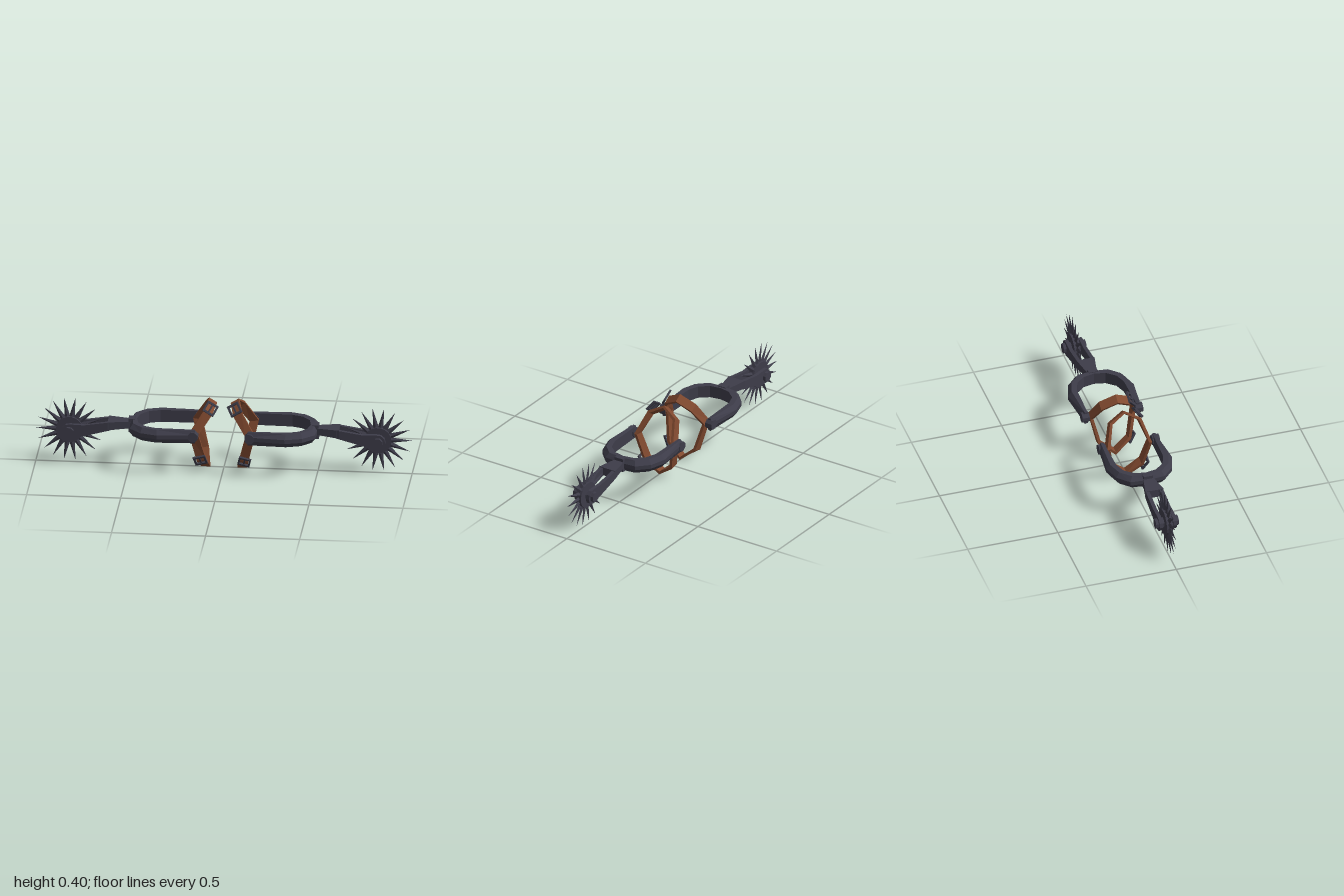
import * as THREE from 'three';

const metal = new THREE.MeshStandardMaterial({ color: 0x3d3c49, flatShading: true });
metal.name = 'darkSteel';
const leather = new THREE.MeshStandardMaterial({ color: 0x80492f, flatShading: true });
leather.name = 'brownLeather';

const V = (x, y, z) => new THREE.Vector3(x, y, z);
const ROWEL = [0.82, 0.19, 0];

// Skin a list of equal-length cross-sections; the winding is made to face outward.
function loft(rings, closed = false) {
  const n = rings[0].length, m = rings.length, idx = [];
  const pts = rings.flat();
  for (let i = 0; i < (closed ? m : m - 1); i++) {
    const a = i * n, b = ((i + 1) % m) * n;
    for (let j = 0; j < n; j++) {
      const k = (j + 1) % n;
      idx.push(a + j, b + j, b + k, a + j, b + k, a + k);
    }
  }
  if (!closed) {
    const e = (m - 1) * n;
    for (let j = 1; j < n - 1; j++) idx.push(0, j, j + 1, e, e + j + 1, e + j);
  }
  let volume = 0;
  for (let i = 0; i < idx.length; i += 3) {
    volume += pts[idx[i]].dot(V(0, 0, 0).crossVectors(pts[idx[i + 1]], pts[idx[i + 2]]));
  }
  if (volume < 0) idx.reverse();
  const g = new THREE.BufferGeometry().setFromPoints(pts);
  g.setIndex(idx);
  g.computeVertexNormals();
  return g;
}

// Mirror a geometry across x = 0, keeping faces outward.
function mirrored(geometry) {
  const g = geometry.index ? geometry.toNonIndexed() : geometry.clone();
  g.scale(-1, 1, 1);
  const p = g.attributes.position, a = V(), b = V();
  for (let i = 0; i < p.count; i += 3) {
    a.fromBufferAttribute(p, i + 1);
    b.fromBufferAttribute(p, i + 2);
    p.setXYZ(i + 1, b.x, b.y, b.z);
    p.setXYZ(i + 2, a.x, a.y, a.z);
  }
  g.computeVertexNormals();
  return g;
}

function box(w, h, d, x, y, z) {
  return new THREE.BoxGeometry(w, h, d).translate(x, y, z);
}

// Cylinder lying along z
function disc(r, depth, sides, x, y, z) {
  return new THREE.CylinderGeometry(r, r, depth, sides).rotateY(Math.PI / sides).rotateX(Math.PI / 2).translate(x, y, z);
}

// U-shaped heel band, flat inside and bevelled outside
function heelBand() {
  // inner x, inner z, outer x, outer z
  const half = [
    [0.14, 0.135, 0.14, 0.162], [0.35, 0.13, 0.34, 0.182], [0.41, 0.108, 0.43, 0.155],
    [0.45, 0.06, 0.492, 0.095],
  ];
  const stations = [...half, [0.462, 0, 0.5, 0],
    ...half.slice().reverse().map(([a, b, c, d]) => [a, -b, c, -d])];
  return loft(stations.map(([xi, zi, xo, zo]) => {
    const at = (t, y) => V(xi + (xo - xi) * t, y, zi + (zo - zi) * t);
    return [at(0, 0.195), at(0.6, 0.191), at(1, 0.217), at(1, 0.239), at(0.6, 0.264), at(0, 0.262)];
  }));
}

// Neck that flares from the heel band to the fork
function neck() {
  return loft([[0.49, 0.215, 0.25, 0.026], [0.615, 0.206, 0.252, 0.05]].map(([x, lo, hi, z]) =>
    [V(x, lo, -z), V(x, hi, -z), V(x, hi, z), V(x, lo, z)]));
}

// One fork arm with a rounded eye around the rowel pin
function forkArm(side) {
  const s = new THREE.Shape();
  s.moveTo(0.6, 0.251);
  s.lineTo(0.6, 0.206);
  s.lineTo(0.74, 0.168);
  for (let a = -110; a <= 100; a += 35) {
    const t = THREE.MathUtils.degToRad(a);
    s.lineTo(ROWEL[0] + 0.042 * Math.cos(t), ROWEL[1] + 0.042 * Math.sin(t));
  }
  s.lineTo(0.74, 0.229);
  const g = new THREE.ExtrudeGeometry(s, { depth: 0.02, bevelEnabled: false });
  return g.translate(0, 0, side > 0 ? 0.028 : -0.048);
}

// Flattened four-sided spike pointing away from the rowel centre
function spike(angle) {
  return new THREE.ConeGeometry(0.017, 0.124, 4).scale(1, 1, 0.65)
    .translate(0, 0.118, 0).rotateZ(angle - Math.PI / 2).translate(...ROWEL);
}

// Leather loop: eight mitred sections, bent where it meets the band
const UPPER = V(0.85, 0.53, 0).normalize(), LOWER = V(0.97, -0.24, 0).normalize();
function strap() {
  const side = V(0.98, 0.15, 0).normalize();
  // centre, width direction, outward y, outward z
  const half = [
    [V(0.082, 0.332, 0.08), UPPER, 0.75, 0.75], [V(0.15, 0.228, 0.116), side, 0, 1],
    [V(0.113, 0.076, 0.083), LOWER, -0.6, 0.85],
  ];
  const stations = [[V(0.06, 0.376, 0), UPPER, 1, 0], ...half, [V(0.097, 0.011, 0), V(1, 0, 0), -1, 0],
    ...half.slice().reverse().map(([p, w, y, z]) => [V(p.x, p.y, -p.z), w, y, -z])];
  return loft(stations.map(([p, w, oy, oz]) => {
    const o = V(0, oy, oz).addScaledVector(w, -oy * w.y);
    return [[-1, -1], [1, -1], [1, 1], [-1, 1]].map(([a, b]) =>
      p.clone().addScaledVector(w, a * 0.025).addScaledVector(o, b * 0.008));
  }), true);
}

// Rectangular buckle frame with a tongue, placed by centre, width and facing
function buckle(centre, w, facing) {
  const n = facing.clone().addScaledVector(w, -facing.dot(w)).normalize();
  const t = V().crossVectors(n, w);
  const m = new THREE.Matrix4().makeBasis(w, t, n).setPosition(centre);
  return [
    box(0.066, 0.011, 0.011, 0, 0.026, 0), box(0.066, 0.011, 0.011, 0, -0.026, 0),
    box(0.01, 0.043, 0.011, 0.028, 0, 0), box(0.01, 0.043, 0.011, -0.028, 0, 0),
    box(0.008, 0.047, 0.008, 0, 0, 0),
  ].map((g) => g.applyMatrix4(m));
}

export function createModel() {
  const parts = [
    ['heelBand', metal, [heelBand()]],
    ['heelCollar', metal, [box(0.036, 0.076, 0.052, 0.488, 0.229, 0)]],
    ['neck', metal, [neck()]],
    ['forkArm', metal, [forkArm(1), forkArm(-1)]],
    ['rowelPin', metal, [disc(0.028, 0.126, 8, ...ROWEL)]],
    ['rowelDisc', metal, [disc(0.072, 0.034, 18, ...ROWEL)]],
    ['rowelSpike', metal, Array.from({ length: 18 }, (_, i) => spike(i * Math.PI / 9))],
    ['strapButton', metal, [1, -1].map((s) => disc(0.028, 0.04, 8, 0.15, 0.229, s * 0.148))],
    ['strap', leather, [strap()]],
    ['upperBuckle', metal, buckle(V(0.064, 0.362, 0.077), UPPER, V(0, 0.6, 0.8))],
    ['lowerBuckle', metal, buckle(V(0.117, 0.074, 0.096), LOWER, V(0, -0.52, 0.85))],
  ];
  const model = new THREE.Group();
  model.name = 'spurs';
  for (const side of ['left', 'right']) {
    const spur = new THREE.Group();
    spur.name = side + 'Spur';
    for (const [name, material, geometries] of parts) {
      const part = new THREE.Group();
      part.name = name;
      for (const g of geometries) {
        const mesh = new THREE.Mesh(side === 'left' ? g : mirrored(g), material);
        mesh.name = name;
        part.add(mesh);
      }
      spur.add(part);
    }
    model.add(spur);
  }
  return model;
}
